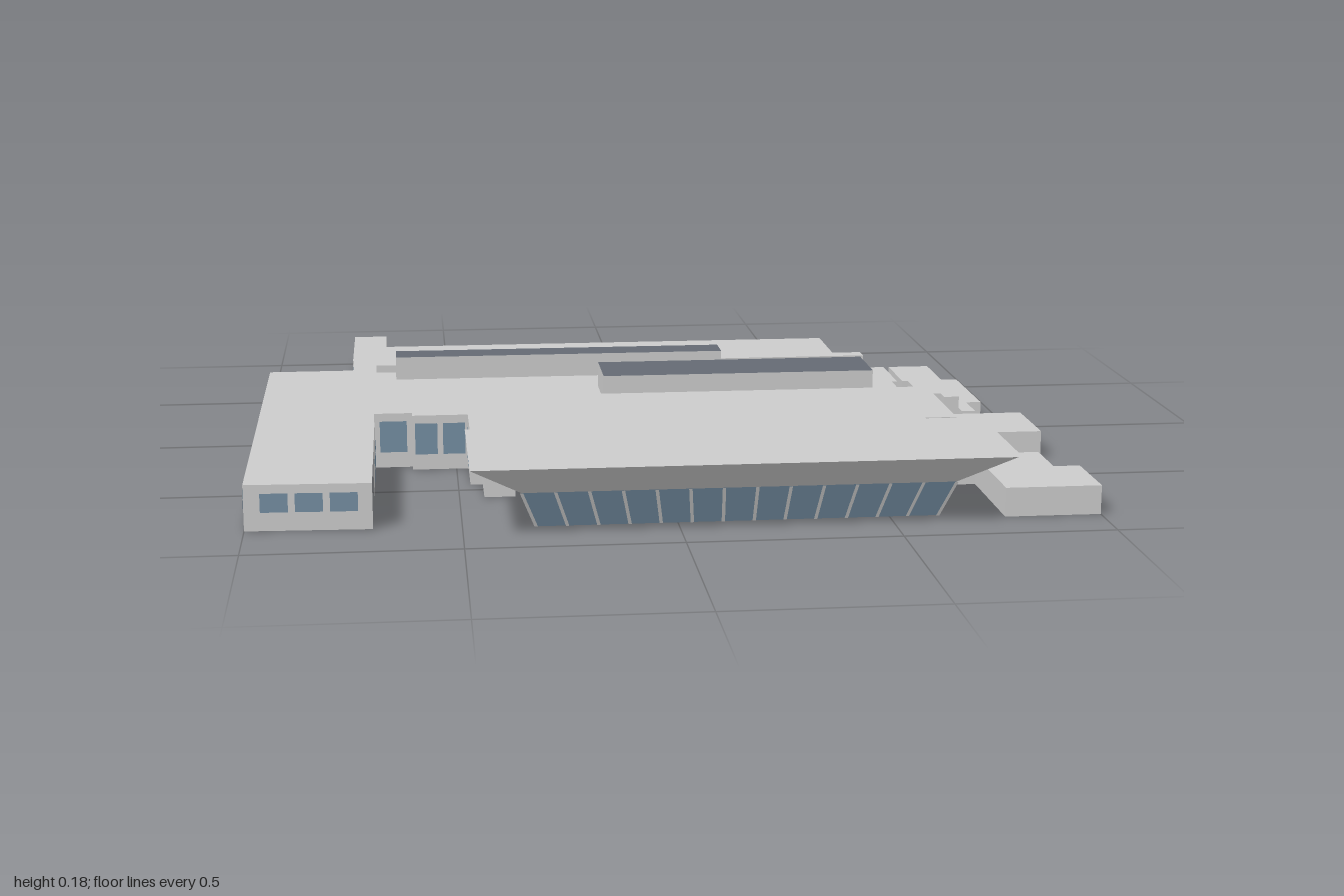
import * as THREE from 'three';

const mat = (color) => new THREE.MeshStandardMaterial({ color, side: THREE.DoubleSide, flatShading: true });
const grey = mat(0xcccccc), glass = mat(0x748ea2), dark = mat(0x646a73);

// Flat mesh from a list of four-cornered faces
function quads(name, faces, material) {
  const pos = [];
  for (const [a, b, c, d] of faces) pos.push(...a, ...b, ...c, ...a, ...c, ...d);
  const g = new THREE.BufferGeometry();
  g.setAttribute('position', new THREE.Float32BufferAttribute(pos, 3));
  g.computeVertexNormals();
  const m = new THREE.Mesh(g, material);
  m.name = name;
  return m;
}

// Roofed block without floor. Outline is [x, z], clockwise from above.
// base gives the lowest height of chosen walls; a base at roof height leaves that side open.
function block(name, pts, h, base = {}, y0 = 0, roofMat = grey) {
  const g = new THREE.Group();
  g.name = name;
  const shape = new THREE.Shape(pts.map(([x, z]) => new THREE.Vector2(x, -z)));
  const roof = new THREE.Mesh(new THREE.ShapeGeometry(shape), roofMat);
  roof.rotation.x = -Math.PI / 2;
  roof.position.y = h;
  roof.name = name + 'Roof';
  const faces = [];
  pts.forEach(([ax, az], i) => {
    const [bx, bz] = pts[(i + 1) % pts.length];
    const lo = base[i] ?? y0;
    if (lo < h) faces.push([[bx, lo, bz], [ax, lo, az], [ax, h, az], [bx, h, bz]]);
  });
  g.add(roof, quads(name + 'Walls', faces, grey));
  return g;
}

const rect = (x0, x1, z0, z1) => [[x0, z0], [x1, z0], [x1, z1], [x0, z1]];

// Row of n panes from a to b, running left to right as seen from outside
function windows(name, [ax, az], [bx, bz], n, y0, y1) {
  const g = new THREE.Group();
  g.name = name;
  const dx = bx - ax, dz = bz - az, len = Math.hypot(dx, dz);
  const geo = new THREE.PlaneGeometry((len / n) * 0.8, y1 - y0);
  for (let i = 0; i < n; i++) {
    const t = (i + 0.5) / n;
    const p = new THREE.Mesh(geo, glass);
    p.name = 'pane';
    p.position.set(ax + dx * t - (dz / len) * 0.003, (y0 + y1) / 2, az + dz * t + (dx / len) * 0.003);
    p.rotation.y = Math.atan2(-dz, dx);
    g.add(p);
  }
  return g;
}

// Projecting hall: flat roof, sloping soffit, inward-leaning glass with mullions
function frontHall() {
  const g = new THREE.Group();
  g.name = 'frontHall';
  const back = 0.57;
  // Section levels: left x, right x, front z, height
  const top = [-0.485, 0.77, 0.965, 0.17];
  const mid = [-0.365, 0.65, 0.87, 0.09];
  const low = [-0.33, 0.615, 0.835, 0];
  const band = ([l0, r0, f0, y0], [l1, r1, f1, y1]) => [
    [[l1, y1, f1], [r1, y1, f1], [r0, y0, f0], [l0, y0, f0]],
    [[r1, y1, f1], [r1, y1, back], [r0, y0, back], [r0, y0, f0]],
    [[l1, y1, back], [l1, y1, f1], [l0, y0, f0], [l0, y0, back]],
  ];
  const [l, r, f, y] = top;
  g.add(quads('canopy', [
    [[l, y, f], [r, y, f], [r, y, back], [l, y, back]],
    [[0.725, 0.14, back], [-0.44, 0.14, back], [l, y, back], [r, y, back]],
    ...band(top, mid),
  ], grey));
  g.add(quads('slopingGlass', band(mid, low), glass));
  const bars = [], w = 0.004, o = 0.003, n = 13;
  for (let i = 0; i <= n; i++) {
    const a = THREE.MathUtils.lerp(mid[0], mid[1], i / n);
    const b = THREE.MathUtils.lerp(low[0], low[1], i / n);
    bars.push([[b - w, 0, low[2] + o], [b + w, 0, low[2] + o], [a + w, 0.09, mid[2] + o], [a - w, 0.09, mid[2] + o]]);
  }
  for (let i = 1; i < 4; i++) {
    const z = back + i * 0.075;
    bars.push([[low[1] + o, 0, z + w], [low[1] + o, 0, z - w], [mid[1] + o, 0.09, z - w], [mid[1] + o, 0.09, z + w]]);
    bars.push([[low[0] - o, 0, z - w], [low[0] - o, 0, z + w], [mid[0] - o, 0.09, z + w], [mid[0] - o, 0.09, z - w]]);
  }
  g.add(quads('mullions', bars, grey));
  return g;
}

export function createModel() {
  const model = new THREE.Group();
  model.name = 'building';

  // Main blocks
  model.add(
    block('sideWing', [[-1, -0.4], [-0.77, -0.4], [-0.77, -0.62], [-0.705, -0.62], [-0.705, 0.26],
      [-0.705, 0.56], [-0.705, 0.82], [-1, 0.81]], 0.11, { 3: 0.11, 5: 0.11 }),
    block('backBlock', [[-0.705, -0.62], [0.59, -0.62], [0.59, -0.41], [0.67, -0.41], [0.67, -0.365],
      [-0.705, -0.365]], 0.13, { 4: 0.11, 5: 0.11 }),
    block('middleBlock', rect(-0.705, 0.67, -0.365, 0.09), 0.11, { 0: 0.11, 2: 0.11, 3: 0.11 }),
    block('frontBlock', [[-0.705, 0.09], [0.67, 0.09], [0.75, 0.09], [0.75, 0.44], [0.67, 0.44], [0.67, 0.48],
      [0.77, 0.48], [0.77, 0.57], [0.65, 0.57], [-0.365, 0.57], [-0.44, 0.57], [-0.44, 0.45], [-0.47, 0.45],
      [-0.47, 0.29], [-0.61, 0.29], [-0.61, 0.26], [-0.705, 0.26]], 0.14, { 0: 0.11, 8: 0.14, 16: 0.11 }),
    frontHall(),
  );

  // Stubs at the back
  model.add(
    block('longBackStub', rect(-0.775, -0.68, -0.97, -0.62), 0.09),
    block('shortBackStub', rect(0.5, 0.595, -0.745, -0.62), 0.09, { 2: 0.09 }),
  );

  // Rooftop plant rooms with dark tops
  model.add(
    block('backPlantRoom', rect(-0.65, 0.25, -0.355, -0.27), 0.172, {}, 0.11, dark),
    block('frontPlantRoom', rect(-0.105, 0.615, -0.13, 0.045), 0.177, {}, 0.11, dark),
  );

  // Stepped annexes along the side
  model.add(
    block('lowAnnex', [[0.77, 0.12], [1, 0.12], [1, 0.33], [0.885, 0.33], [0.885, 0.54], [0.935, 0.54],
      [0.935, 0.68], [1, 0.68], [1, 0.865], [0.77, 0.865], [0.77, 0.48], [0.805, 0.48], [0.805, 0.33],
      [0.77, 0.33]], 0.07),
    block('outerAnnex', [[0.85, -0.295], [0.925, -0.295], [0.925, -0.01], [0.885, -0.01], [0.885, 0.09],
      [0.85, 0.09]], 0.07),
    block('highAnnex', [[0.73, -0.295], [0.84, -0.295], [0.84, 0.09], [0.8, 0.09], [0.8, 0.05], [0.67, 0.05],
      [0.67, 0], [0.745, 0], [0.745, -0.11], [0.73, -0.11]], 0.11, { 5: 0.11 }),
    block('linkAnnex', [[0.67, -0.295], [0.715, -0.295], [0.715, -0.11], [0.7, -0.11], [0.7, 0],
      [0.67, 0]], 0.11, { 5: 0.11 }),
  );

  // Window rows
  const rows = [
    ['wingFrontWindows', [-0.97, 0.813], [-0.73, 0.82], 3, 0.045, 0.09],
    ['wingOuterWindows', [-1, -0.38], [-1, 0.79], 16, 0.045, 0.09],
    ['wingInnerWindows', [-0.705, 0.55], [-0.705, 0.28], 4, 0.035, 0.09],
    ['wingBackWindows', [-0.78, -0.4], [-0.98, -0.4], 2, 0.045, 0.09],
    ['linkWindows', [-0.77, -0.6], [-0.77, -0.42], 2, 0.045, 0.09],
    ['backWindows', [0.49, -0.62], [-0.67, -0.62], 15, 0.04, 0.11],
    ['courtWindow', [-0.7, 0.26], [-0.615, 0.26], 1, 0.04, 0.12],
    ['courtWindows', [-0.61, 0.29], [-0.47, 0.29], 2, 0.04, 0.12],
    ['courtSideWindows', [-0.47, 0.3], [-0.47, 0.44], 2, 0.04, 0.12],
    ['sideFrontWindows', [0.75, 0.45], [0.75, 0.34], 2, 0.075, 0.12],
    ['sideBackWindows', [0.59, -0.415], [0.59, -0.615], 2, 0.04, 0.11],
    ['sideCornerWindow', [0.67, -0.298], [0.67, -0.358], 1, 0.04, 0.09],
    ['cornerBackWindow', [0.665, -0.41], [0.595, -0.41], 1, 0.04, 0.1],
  ];
  for (const row of rows) model.add(windows(...row));

  return model;
}
